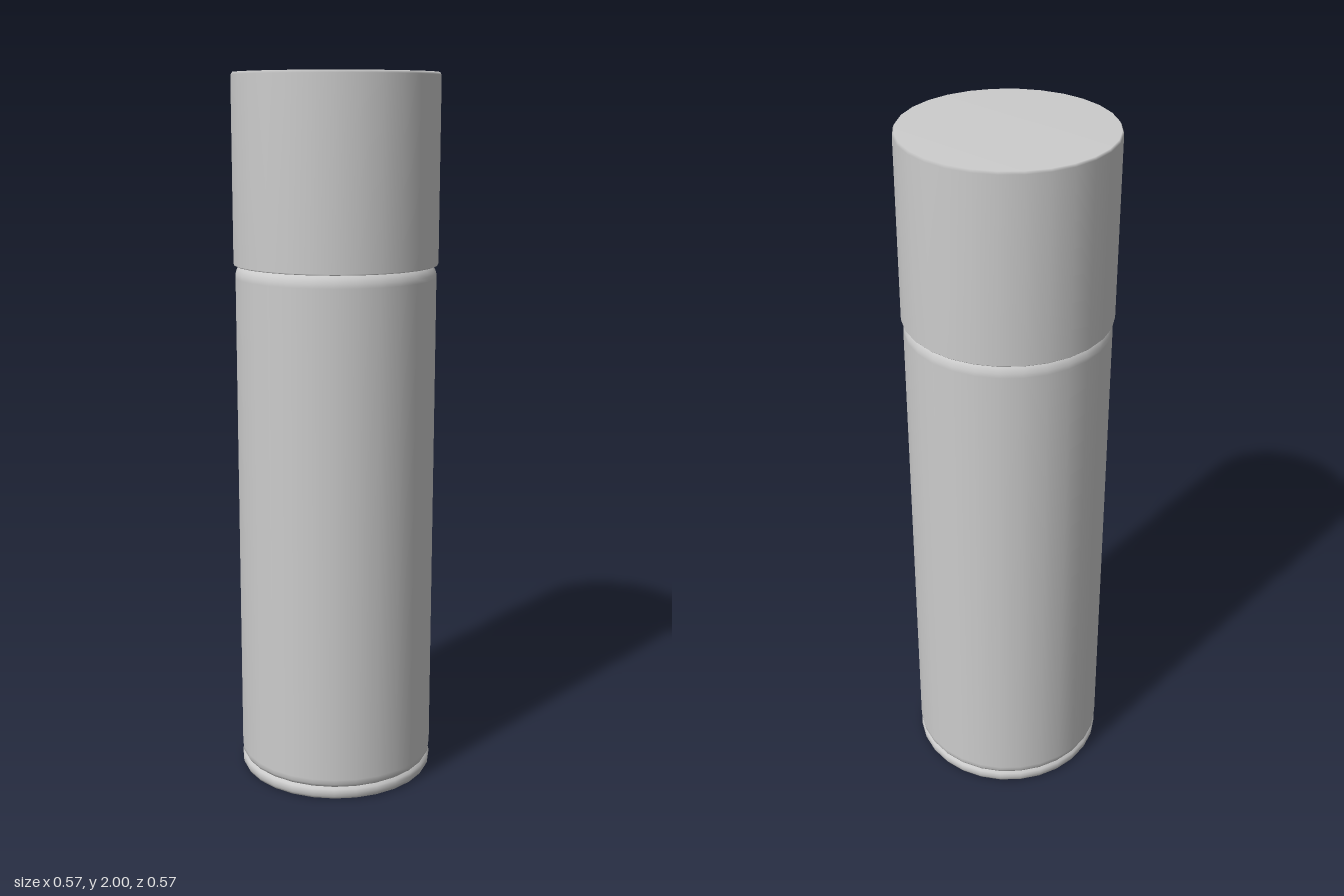
import * as THREE from 'three';

export function createModel() {
  const model = new THREE.Group();
  model.name = 'sprayCan';
  const grey = new THREE.MeshStandardMaterial({ color: 0xcccccc });
  grey.name = 'grey';

  // Revolves a [radius, height] profile, listed from the bottom centre upwards
  const turned = (name, profile, sides) => {
    const points = profile.map(([r, y]) => new THREE.Vector2(r, y));
    const mesh = new THREE.Mesh(new THREE.LatheGeometry(points, sides), grey);
    mesh.name = name;
    model.add(mesh);
  };

  // Rolled rim around the hollow, domed underside
  turned('baseRim', [
    [0, 0.07], [0.1, 0.063], [0.18, 0.045], [0.24, 0.022], [0.262, 0.005],
    [0.268, 0], [0.275, 0.002], [0.279, 0.01], [0.28, 0.02], [0.278, 0.03], [0.27, 0.037],
  ], 28);

  // Straight can wall with small rounded shoulders at both ends
  turned('canBody', [
    [0.268, 0.034], [0.274, 0.038], [0.279, 0.047], [0.28, 0.06],
    [0.28, 1.45], [0.279, 1.462], [0.274, 1.475], [0.265, 1.485], [0.255, 1.49],
  ], 28);

  // Overhanging cap, softly shaded across its walls and top
  turned('cap', [
    [0.25, 1.486], [0.282, 1.485], [0.285, 1.488], [0.285, 1.993], [0.281, 2], [0, 2],
  ], 28);

  return model;
}
